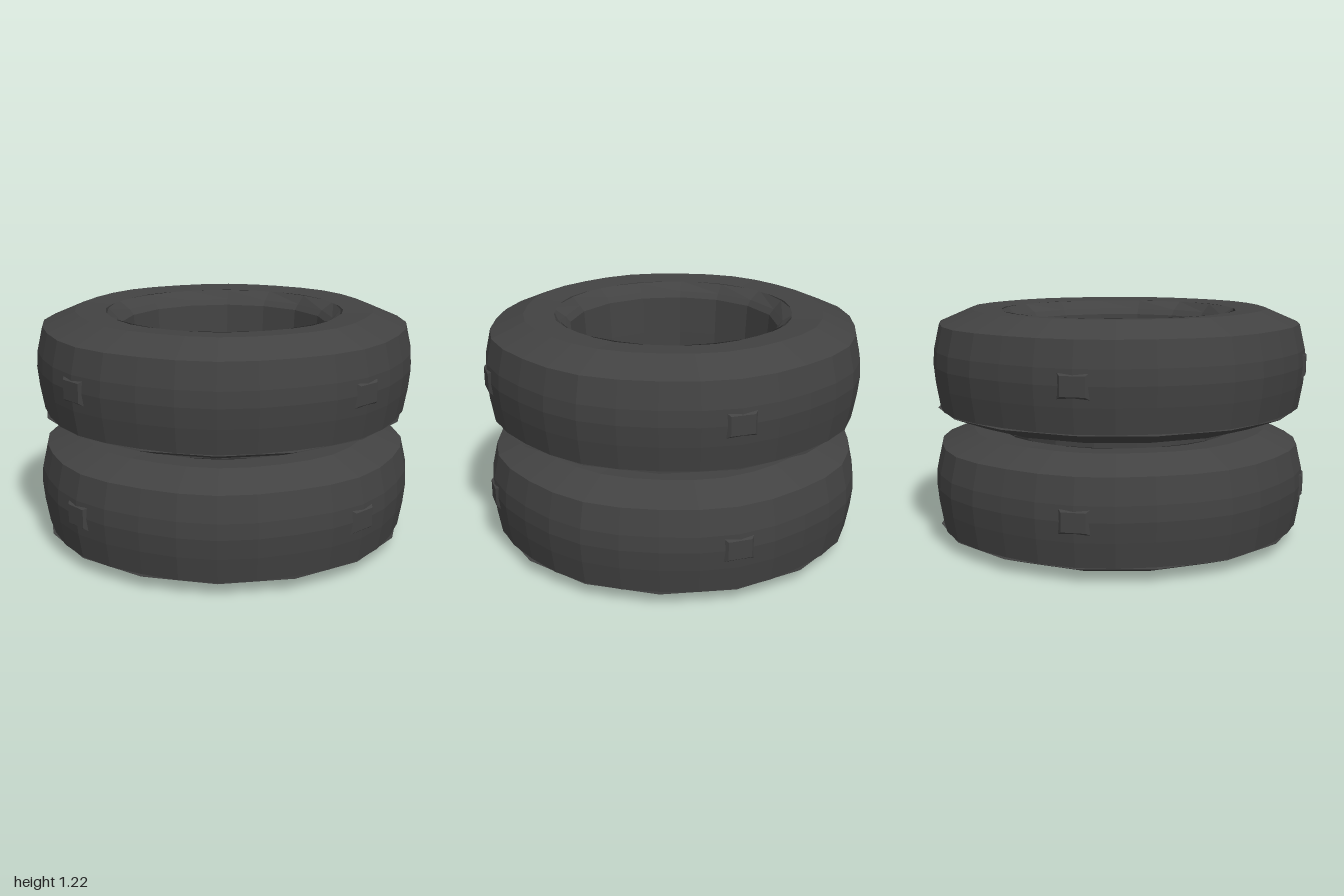
import * as THREE from 'three';

const rubber = new THREE.MeshStandardMaterial({
  color: 0x424242, flatShading: true, side: THREE.DoubleSide,
});

function part(name, geometry) {
  const mesh = new THREE.Mesh(geometry, rubber);
  mesh.name = name;
  return mesh;
}

const points = (list) => list.map(([x, y]) => new THREE.Vector2(x, y));

// Lathe whose radius dips a little eight times around, for a worn, uneven tread
function wornLathe(profile, sides, dip) {
  const geo = new THREE.LatheGeometry(points(profile), sides);
  const pos = geo.attributes.position;
  for (let i = 0; i < pos.count; i++) {
    const x = pos.getX(i), z = pos.getZ(i);
    const k = 1 - dip * (0.5 - 0.5 * Math.cos(8 * Math.atan2(z, x)));
    pos.setX(i, x * k);
    pos.setZ(i, z * k);
  }
  return geo;
}

// Flat plate in the xz plane; outlines are given as [x, z]
function plate(outline, holes) {
  const shape = new THREE.Shape(points(outline));
  holes.forEach((h) => shape.holes.push(new THREE.Path(points(h))));
  return new THREE.ShapeGeometry(shape).rotateX(Math.PI / 2);
}

function circle(radius, sides) {
  return Array.from({ length: sides }, (_, i) => {
    const a = (i / sides) * Math.PI * 2;
    return [radius * Math.cos(a), radius * Math.sin(a)];
  });
}

// Four-sided frustum used for tread nubs, pointing along +z
function nubGeometry() {
  return new THREE.CylinderGeometry(0.085, 0.15, 0.05, 4, 1)
    .rotateY(Math.PI / 4).rotateX(Math.PI / 2).scale(1, 0.8, 1);
}

const diamond = [[-0.15, -0.63], [0.47, -0.05], [-0.15, 0.45], [-0.59, 0.05]];

function createTire(name) {
  const tire = new THREE.Group();
  tire.name = name;

  // Tread and upper sidewall, from the lower shoulder to the rim
  tire.add(part('tread', wornLathe([
    [0.968, 0.073], [0.99, 0.2], [1, 0.3], [0.995, 0.38], [0.965, 0.51], [0.79, 0.585], [0.63, 0.575],
  ], 32, 0.015)));

  // Rim lip and bore wall, with a coarse eight-sided outer edge
  const bore = new THREE.LatheGeometry(points([
    [0.63, 0.575], [0.575, 0.53], [0.55, 0.5], [0.535, 0.3], [0.52, 0.03],
  ]), 16);
  const pos = bore.attributes.position;
  for (let i = 0; i < pos.count; i++) {
    const x = pos.getX(i), z = pos.getZ(i);
    if (Math.hypot(x, z) < 0.6) continue;
    const k = 1 - 0.02 * Math.cos(8 * Math.atan2(z, x));
    pos.setXYZ(i, x * k, pos.getY(i), z * k);
  }
  tire.add(part('bore', bore));

  // Lower shoulder and flat base with its four-sided opening
  tire.add(part('lowerShoulder', new THREE.LatheGeometry(points([[0.79, 0], [0.968, 0.067]]), 16)));
  tire.add(part('base', plate(circle(0.79, 16), [diamond])));

  // Small raised nubs around the tread
  for (let i = 0; i < 4; i++) {
    const angle = (i * Math.PI) / 2;
    const nub = part('treadNub', nubGeometry());
    nub.position.set(Math.sin(angle) * 0.977, 0.3, Math.cos(angle) * 0.977);
    nub.rotation.y = angle;
    tire.add(nub);
  }
  return tire;
}

// Broken hub floor: dished plate with openings, and a sunken middle
function createHub() {
  const hub = new THREE.Group();
  hub.name = 'hub';
  const pitRim = [[-0.17, -0.28], [0.09, -0.28], [0.15, -0.1], [0.1, 0.18], [-0.16, 0.18], [-0.2, -0.05]];
  const rise = (x, z) => 0.02 + 0.12 * Math.hypot(x, z);
  const floor = plate(circle(0.535, 16), [
    pitRim,
    [[-0.15, -0.48], [-0.1, -0.48], [0.06, -0.38], [0.06, -0.295], [-0.15, -0.295]],
    [[0.25, -0.23], [0.47, -0.08], [0.25, -0.07]],
    [[-0.25, 0.25], [-0.18, 0.19], [-0.15, 0.33]],
  ]);
  const pos = floor.attributes.position;
  for (let i = 0; i < pos.count; i++) pos.setY(i, rise(pos.getX(i), pos.getZ(i)));
  hub.add(part('hubFloor', floor));

  // Pit walls taper from the rim down to a smaller bottom
  const verts = [];
  const depth = -0.2;
  const pitBottom = pitRim.map(([x, z]) => [-0.03 + (x + 0.03) * 0.75, -0.04 + (z + 0.04) * 0.75]);
  const rimPoint = ([x, z]) => [x, rise(x, z), z];
  const lowPoint = ([x, z]) => [x, depth, z];
  pitRim.forEach((p, i) => {
    const j = (i + 1) % pitRim.length;
    const a = rimPoint(p), b = rimPoint(pitRim[j]);
    const c = lowPoint(pitBottom[j]), d = lowPoint(pitBottom[i]);
    verts.push(...a, ...b, ...c, ...a, ...c, ...d);
  });
  const walls = new THREE.BufferGeometry();
  walls.setAttribute('position', new THREE.Float32BufferAttribute(verts, 3));
  walls.computeVertexNormals();
  hub.add(part('hubPitWalls', walls));
  const bottom = part('hubPitBottom', plate(pitBottom, []));
  bottom.position.y = depth;
  hub.add(bottom);
  return hub;
}

export function createModel() {
  const model = new THREE.Group();
  model.name = 'stackedTires';

  // Two identical tires, one above the other
  const lower = createTire('lowerTire');
  const upper = createTire('upperTire');
  upper.position.y = 0.635;
  model.add(lower, upper);

  // Neck joining the tires
  const neck = part('neck', new THREE.CylinderGeometry(0.55, 0.55, 0.16, 16, 1, true));
  neck.position.set(-0.02, 0.61, 0);
  model.add(neck);

  const hub = createHub();
  hub.position.y = 0.645;
  model.add(hub);
  return model;
}
